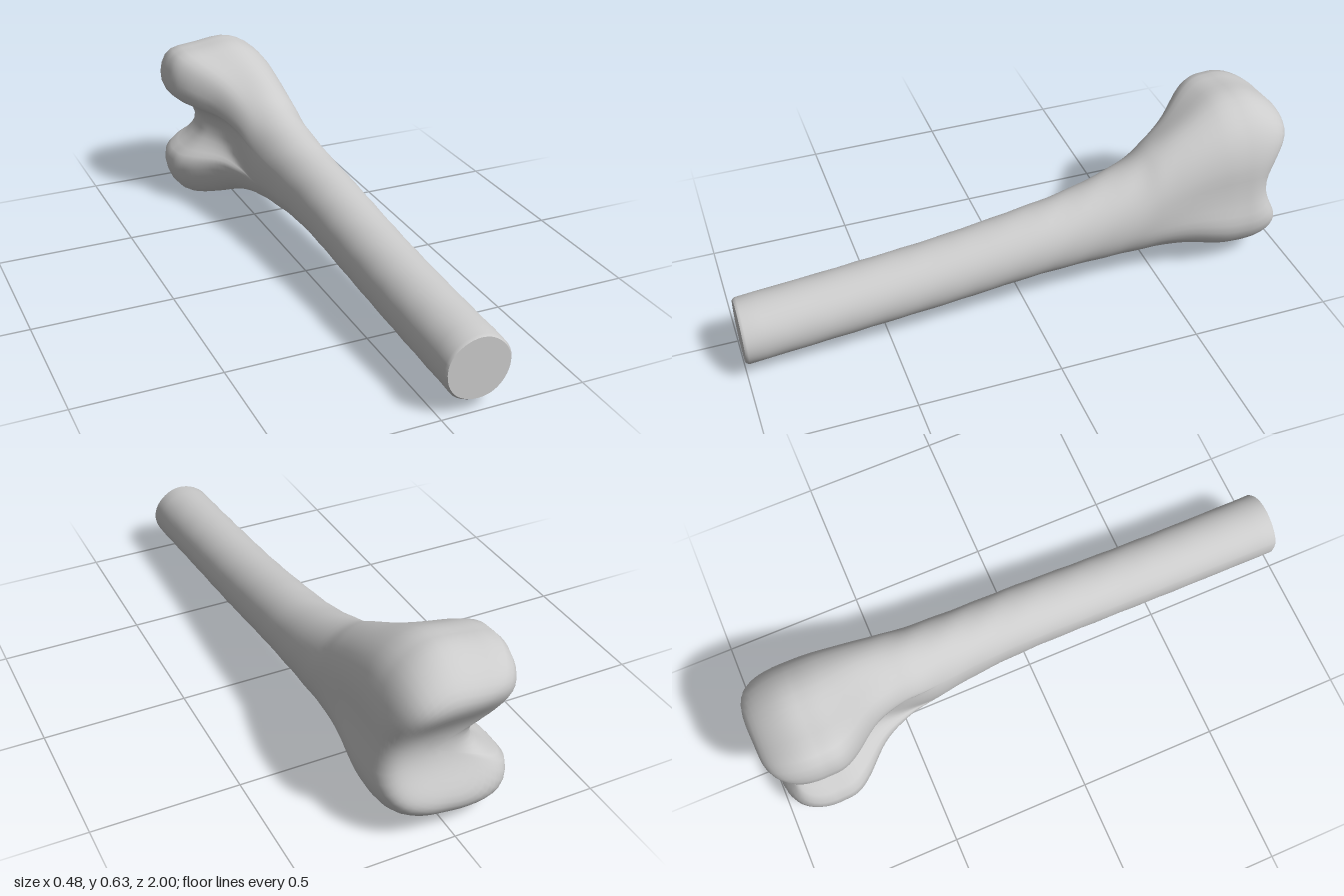
import * as THREE from 'three';
import { mergeVertices } from 'three/addons/utils/BufferGeometryUtils.js';

const SIDES = 56, RINGS = 56, CAP_RINGS = 18;

// Stations along the bone: z, xMin, xMax, yMin, yMax
const stations = [
  [1, 0.005, 0.235, 0.04, 0.265],
  [0.6, 0, 0.227, 0.065, 0.293],
  [0.3, -0.005, 0.222, 0.085, 0.32],
  [0, -0.015, 0.216, 0.11, 0.362],
  [-0.2, -0.03, 0.21, 0.11, 0.395],
  [-0.4, -0.06, 0.206, 0.095, 0.45],
  [-0.5, -0.08, 0.207, 0.085, 0.5],
  [-0.6, -0.12, 0.212, 0.066, 0.55],
  [-0.7, -0.2, 0.222, 0.028, 0.6],
  [-0.76, -0.232, 0.226, 0.008, 0.62],
  [-0.83, -0.237, 0.226, 0, 0.625],
];
const xRange = new THREE.CatmullRomCurve3(stations.map(s => new THREE.Vector3(s[1], s[2], s[0])), false, 'catmullrom');
const yRange = new THREE.CatmullRomCurve3(stations.map(s => new THREE.Vector3(s[3], s[4], s[0])), false, 'catmullrom');

// Outline across the two condyles, counter-clockwise, with the notch on the -x side
const headOutline = new THREE.CatmullRomCurve3([
  [0.226, 0.2], [0.212, 0.27], [0.203, 0.34], [0.197, 0.43], [0.17, 0.515], [0.12, 0.58], [0.03, 0.625],
  [-0.1, 0.612], [-0.2, 0.592], [-0.235, 0.53], [-0.235, 0.45], [-0.2, 0.412], [-0.15, 0.383],
  [-0.12, 0.345], [-0.11, 0.3], [-0.13, 0.255], [-0.17, 0.215], [-0.235, 0.165], [-0.225, 0.07],
  [-0.18, 0.02], [-0.09, 0], [0, 0.014], [0.1, 0.04], [0.18, 0.09], [0.218, 0.145],
].map(([x, y]) => new THREE.Vector3(x, y, 0)), true, 'centripetal');

// The same outline in a -1..1 box
const unitHead = headOutline.getSpacedPoints(SIDES).slice(0, SIDES)
  .map(p => new THREE.Vector2((p.x + 0.0055) / 0.2315, (p.y - 0.3125) / 0.3125));

// Cross-section at t: round for the shaft, turning into the condyle outline
function section(t) {
  const xr = xRange.getPoint(t), yr = yRange.getPoint(t), z = xr.z;
  const w = 1 - THREE.MathUtils.smoothstep(z, -0.74, -0.35);
  return unitHead.map(h => {
    const a = Math.atan2(h.y, h.x);
    // Gentle lumps of the bone surface
    const lump = 1 + 0.014 * (1 - w) * Math.sin(3 * a + 17 * z) * Math.sin(23 * z + 2 * a);
    const ux = THREE.MathUtils.lerp(Math.cos(a) * lump, h.x, w);
    const uy = THREE.MathUtils.lerp(Math.sin(a) * lump, h.y, w);
    return new THREE.Vector3(
      (xr.x + xr.y) / 2 + ux * (xr.y - xr.x) / 2,
      (yr.x + yr.y) / 2 + uy * (yr.y - yr.x) / 2, z);
  });
}

// How far back the joint surface reaches at height y: two humps with a saddle between
const hump = (y, centre, width) => Math.exp(-(((y - centre) / width) ** 2));
const jointZ = y => -0.915 - 0.098 * hump(y, 0.52, 0.12) - 0.082 * hump(y, 0.11, 0.11);

function loft(rings) {
  const index = [];
  for (let i = 0; i < rings.length - 1; i++) {
    for (let j = 0; j < SIDES; j++) {
      const k = (j + 1) % SIDES;
      const a = i * SIDES + j, b = i * SIDES + k, c = a + SIDES, d = b + SIDES;
      index.push(a, c, b, b, c, d);
    }
  }
  let geo = new THREE.BufferGeometry().setFromPoints(rings.flat());
  geo.setIndex(index);
  geo = mergeVertices(geo, 1e-5);
  geo.computeVertexNormals();
  return geo;
}

export function createModel() {
  const group = new THREE.Group();
  group.name = 'thighBoneEnd';
  const material = new THREE.MeshStandardMaterial({ color: 0xcccccc });

  // Cut end: a slightly rounded rim closed by a flat face
  const first = section(0);
  const rimCentre = new THREE.Vector3(0.12, 0.1525, 1);
  const rim = first.map(p => p.clone().lerp(rimCentre, 0.06));
  const rings = [rim, first.map(p => p.clone().setZ(0.99))];

  // Shaft flaring into the condyles
  for (let i = 1; i <= RINGS; i++) rings.push(section(i / RINGS));

  // Joint surface, domed over both condyles
  const last = rings[rings.length - 1], centre = new THREE.Vector2(0.05, 0.3);
  for (let i = 1; i <= CAP_RINGS; i++) {
    const s = i === CAP_RINGS ? 0 : Math.cos((Math.PI / 2) * (i / CAP_RINGS));
    const rise = Math.sqrt(1 - s ** 5);
    rings.push(last.map(p => {
      const x = THREE.MathUtils.lerp(centre.x, p.x, s), y = THREE.MathUtils.lerp(centre.y, p.y, s);
      return new THREE.Vector3(x, y, THREE.MathUtils.lerp(p.z, jointZ(y), rise));
    }));
  }

  const bone = new THREE.Mesh(loft(rings), material);
  bone.name = 'shaftAndCondyles';
  group.add(bone);

  const face = new THREE.Mesh(new THREE.ShapeGeometry(new THREE.Shape(rim.map(p => new THREE.Vector2(p.x, p.y)))), material);
  face.position.z = 1;
  face.name = 'cutEnd';
  group.add(face);
  return group;
}
